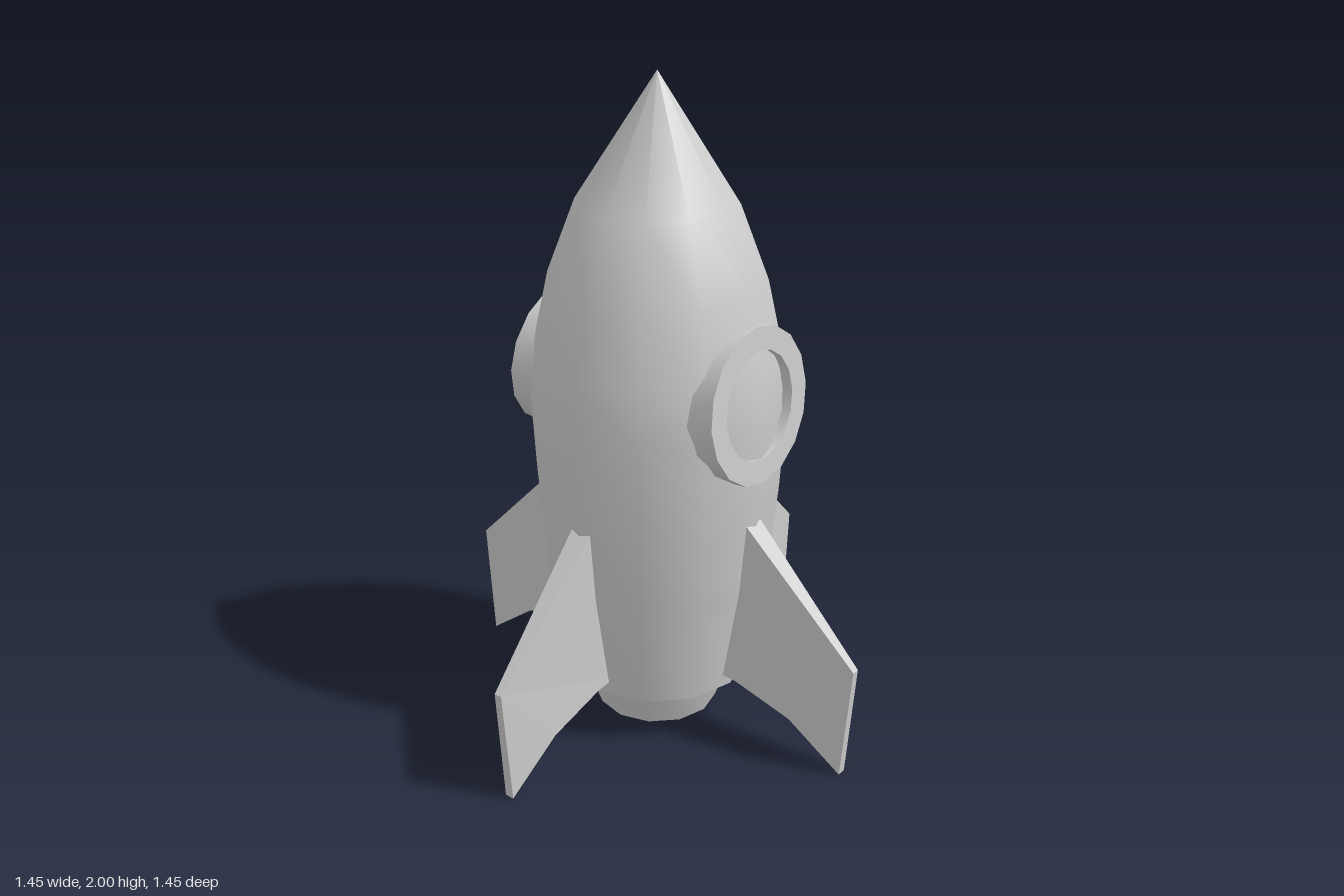
import * as THREE from 'three';
import { toCreasedNormals } from 'three/addons/utils/BufferGeometryUtils.js';

const SIDES = 12;

function lathe(points, sides) {
  return new THREE.LatheGeometry(points.map(([r, y]) => new THREE.Vector2(r, y)), sides);
}

export function createModel() {
  const model = new THREE.Group();
  const smooth = new THREE.MeshStandardMaterial({ color: 0xcccccc });
  const flat = new THREE.MeshStandardMaterial({ color: 0xcccccc, flatShading: true });

  function add(name, geometry, material = smooth) {
    const mesh = new THREE.Mesh(geometry, material);
    mesh.name = name;
    model.add(mesh);
    return mesh;
  }

  // Pointed hull, smooth around its twelve sides
  add('hull', lathe([
    [0.285, 0.15], [0.345, 0.5], [0.37, 0.77], [0.385, 1.03],
    [0.37, 1.19], [0.322, 1.41], [0.238, 1.63], [0, 2],
  ], SIDES));

  // Flat underside of the hull
  add('hullBase', lathe([[0, 0.15], [0.285, 0.15]], SIDES));

  // Hollow exhaust nozzle with a thick rim
  add('nozzle', toCreasedNormals(lathe([
    [0, 0.13], [0.14, 0.13], [0.14, 0.015], [0.187, 0.015], [0.237, 0.15],
  ], SIDES), 0.7));

  // Porthole rings, front and back, leaning with the hull
  const ring = toCreasedNormals(lathe([
    [0.233, -0.15], [0.233, 0], [0.162, 0], [0.162, -0.15],
  ], 16), 0.7);
  ring.rotateX(Math.PI / 2 - 0.086);
  ring.translate(0, 1.097, 0.37);
  add('frontPorthole', ring);
  add('backPorthole', ring).rotation.y = Math.PI;

  // Swept fin: outline extruded, then thinned towards the tip
  const outline = [
    [0.25, 0.2], [0.33, 0.19], [0.52, 0.13], [0.695, 0],
    [0.725, 0.36], [0.365, 0.715], [0.29, 0.79],
  ].map(([x, y]) => new THREE.Vector2(x, y));
  const fin = new THREE.ExtrudeGeometry(new THREE.Shape(outline), { depth: 2, bevelEnabled: false });
  fin.translate(0, 0, -1);
  const pos = fin.attributes.position;
  for (let i = 0; i < pos.count; i++) {
    const x = pos.getX(i);
    const half = x < 0.52
      ? THREE.MathUtils.mapLinear(x, 0.28, 0.52, 0.037, 0.028)
      : THREE.MathUtils.mapLinear(x, 0.52, 0.725, 0.028, 0.012);
    pos.setZ(i, pos.getZ(i) * half);
  }
  fin.computeVertexNormals();
  ['leftFin', 'backFin', 'rightFin', 'frontFin'].forEach((name, i) => {
    add(name, fin, flat).rotation.y = i * Math.PI / 2;
  });

  return model;
}
